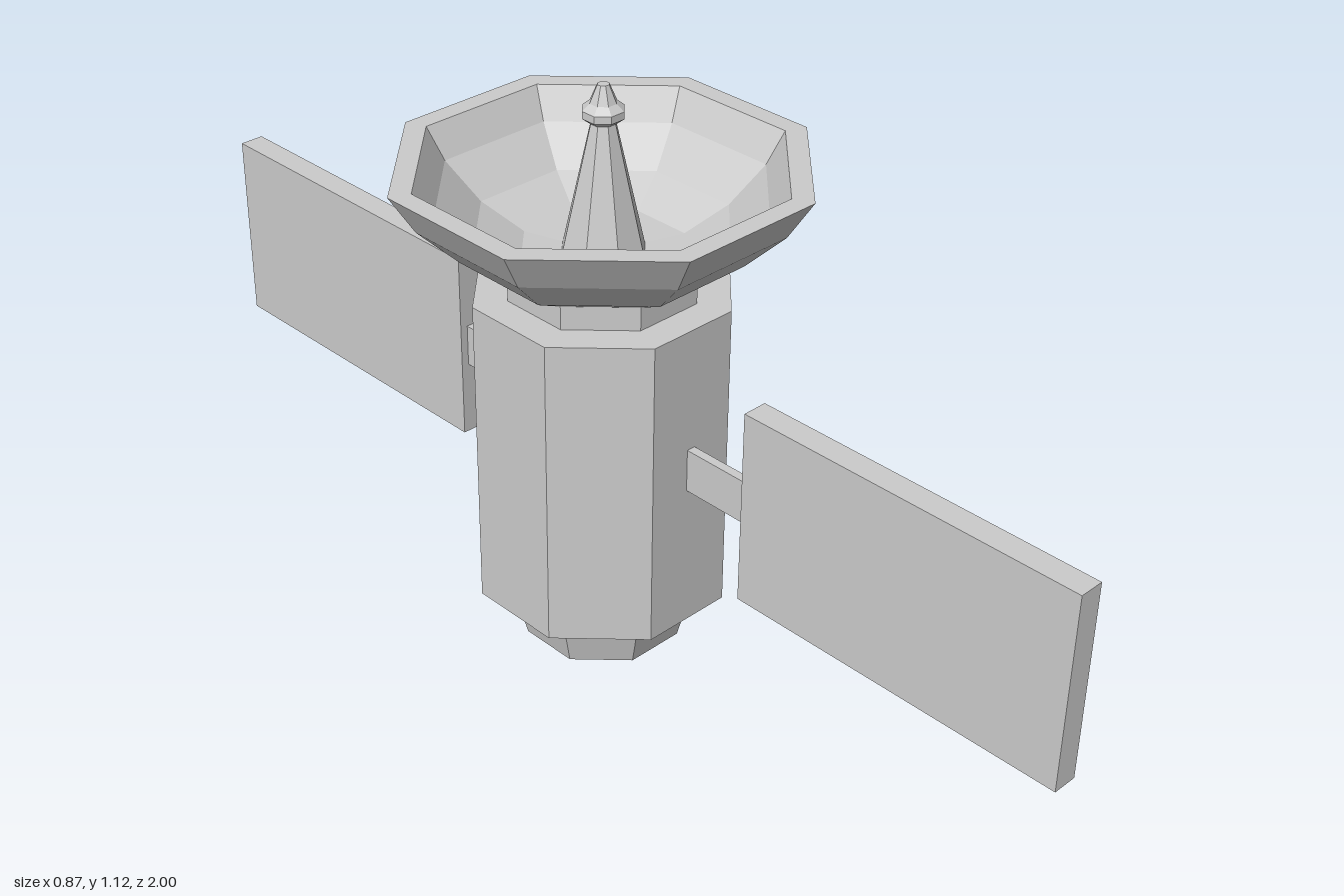
import * as THREE from 'three';

const material = new THREE.MeshStandardMaterial({ color: 0xcccccc, flatShading: true });

function add(parent, name, geometry, x = 0, y = 0, z = 0) {
  const mesh = new THREE.Mesh(geometry, material);
  mesh.name = name;
  mesh.position.set(x, y, z);
  parent.add(mesh);
  return mesh;
}

// Eight-sided turned part; profile is [radius, height], running up the outside
function turned(profile) {
  const points = profile.map(([r, y]) => new THREE.Vector2(r, y));
  const geometry = new THREE.LatheGeometry(points, 8).toNonIndexed();
  geometry.computeVertexNormals();
  return geometry;
}

function rectangle(target, x, y, w, h) {
  target.moveTo(x, y);
  target.lineTo(x + w, y);
  target.lineTo(x + w, y + h);
  target.lineTo(x, y + h);
  target.closePath();
  return target;
}

// Solar panel: solid back plate with a raised frame around 3 x 3 cells
function solarPanel(name) {
  const W = 0.698, H = 0.39, T = 0.05, lip = 0.01;
  const cellW = 0.2, cellH = 0.115, stepX = 0.228, stepY = 0.131;
  const panel = new THREE.Group();
  panel.name = name;
  add(panel, 'panelBack', new THREE.BoxGeometry(W, H, T - lip), 0, 0, -lip / 2);
  const frame = rectangle(new THREE.Shape(), -W / 2, -H / 2, W, H);
  for (let i = -1; i <= 1; i++) {
    for (let j = -1; j <= 1; j++) {
      frame.holes.push(rectangle(new THREE.Path(),
        i * stepX - cellW / 2, j * stepY - cellH / 2, cellW, cellH));
    }
  }
  add(panel, 'panelFrame',
    new THREE.ExtrudeGeometry(frame, { depth: lip, bevelEnabled: false }), 0, 0, T / 2 - lip);
  return panel;
}

export function createModel() {
  const model = new THREE.Group();
  model.name = 'satellite';

  // Hull
  add(model, 'engineCone', turned([[0, 0], [0.155, 0], [0.185, 0.115], [0, 0.115]]));
  add(model, 'body', turned([[0, 0.115], [0.245, 0.115], [0.245, 0.737], [0, 0.737]]));
  add(model, 'neck', turned([[0.18, 0.73], [0.18, 0.79]]));

  // Dish: outer shell, rim and hollow inside
  add(model, 'dish', turned([
    [0, 0.783], [0.18, 0.783], [0.265, 0.83], [0.34, 0.902], [0.387, 0.977],
    [0.345, 0.977], [0.31, 0.917], [0.24, 0.85], [0.155, 0.808], [0, 0.8],
  ]));

  // Feed mast with its knob
  add(model, 'feedMast', turned([[0.08, 0.8], [0.022, 1.057], [0, 1.057]]));
  add(model, 'feedTip', turned([
    [0, 1.053], [0.025, 1.053], [0.039, 1.064], [0.039, 1.078],
    [0.025, 1.09], [0.011, 1.123], [0, 1.123],
  ]));

  // Solar wings on opposite sides, cells facing the same way
  const wings = new THREE.Group();
  wings.name = 'solarWings';
  wings.position.y = 0.45;
  wings.rotation.y = THREE.MathUtils.degToRad(112.5);
  for (const side of [-1, 1]) {
    const label = side < 0 ? 'front' : 'back';
    const panel = solarPanel(label + 'Panel');
    panel.position.x = side * 0.723;
    wings.add(panel);
    add(wings, label + 'Arm', new THREE.BoxGeometry(0.17, 0.086, 0.018), side * 0.3, 0, 0);
  }
  model.add(wings);
  return model;
}
